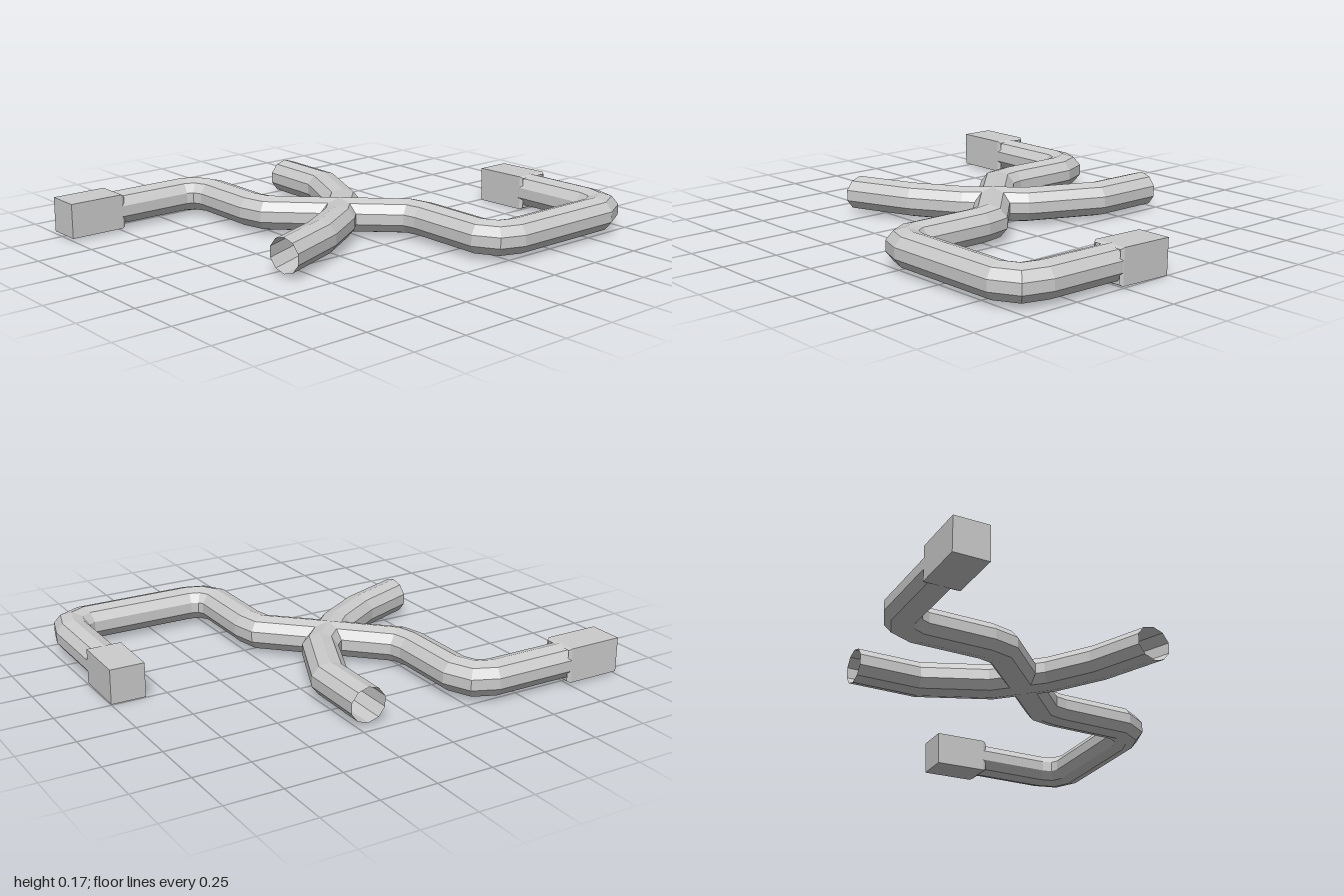
import * as THREE from 'three';

const R = 0.0775, Y = 0.0925, SIDES = 10;
const SIDE_R = R / Math.sin(THREE.MathUtils.degToRad(72)); // keeps width equal to height

function material() {
  return new THREE.MeshStandardMaterial({ color: 0xcccccc, flatShading: true, side: THREE.DoubleSide });
}

// Open pipe with mitred bends; path points are [x, z, y?]
function pipe(name, path, endDir) {
  const pts = path.map(([x, z, y = Y]) => new THREE.Vector3(x, y, z));
  const dirs = pts.slice(1).map((p, i) => {
    const d = p.clone().sub(pts[i]);
    d.y = 0;
    return d.normalize();
  });
  const pos = [], index = [];
  pts.forEach((p, i) => {
    const before = dirs[Math.max(i - 1, 0)], after = dirs[Math.min(i, dirs.length - 1)];
    let t = before.clone().add(after).normalize();
    if (endDir && i === pts.length - 1) t = new THREE.Vector3(endDir[0], 0, endDir[1]).normalize();
    const w = SIDE_R / t.dot(before);
    for (let j = 0; j < SIDES; j++) {
      const a = (j / SIDES) * Math.PI * 2;
      const s = Math.sin(a) * w;
      pos.push(p.x - t.z * s, p.y + Math.cos(a) * R, p.z + t.x * s);
      if (i > 0) {
        const k = (j + 1) % SIDES, b = i * SIDES, c = b - SIDES;
        index.push(c + j, b + j, c + k, c + k, b + j, b + k);
      }
    }
  });
  const g = new THREE.BufferGeometry();
  g.setAttribute('position', new THREE.Float32BufferAttribute(pos, 3));
  g.setIndex(index);
  g.computeVertexNormals();
  const mesh = new THREE.Mesh(g, material());
  mesh.name = name;
  return mesh;
}

// Square end block along local z, with a short tapered collar facing +z
function endBlock(name, length) {
  const group = new THREE.Group();
  group.name = name;
  const block = new THREE.Mesh(new THREE.BoxGeometry(2 * R, 2 * R, length), material());
  block.name = name + 'Body';
  const collarGeo = new THREE.CylinderGeometry(R * 1.27, R * Math.SQRT2, 0.015, 4, 1, true);
  collarGeo.rotateY(Math.PI / 4).rotateX(Math.PI / 2);
  const collar = new THREE.Mesh(collarGeo, material());
  collar.name = name + 'Collar';
  collar.position.z = length / 2 + 0.0075;
  group.add(block, collar);
  return group;
}

export function createModel() {
  const model = new THREE.Group();
  model.name = 'pipeJunction';

  // Long pipe winding from one end block to the other
  model.add(pipe('mainPipe', [
    [-0.76, -0.73], [-0.39, -0.73], [-0.32, -0.7], [-0.285, -0.62],
    [-0.285, -0.31], [-0.265, -0.225], [-0.04, 0], [0.18, 0.215],
    [0.197, 0.3], [0.197, 0.635], [0.235, 0.7], [0.305, 0.725],
    [0.82, 0.725], [0.895, 0.685], [0.92, 0.6], [0.92, 0.24, 0.088],
  ]));

  // Open-ended pipe crossing it
  model.add(pipe('crossPipe', [
    [0.2, -0.705], [0.197, -0.405], [0.065, -0.105], [-0.04, 0],
    [-0.13, 0.09], [-0.33, 0.215], [-0.597, 0.32],
  ], [-1, 0.1]));

  // End blocks
  const left = endBlock('leftEndBlock', 0.247);
  left.position.set(0.921, 0.084, 0.127);
  left.rotation.x = -0.025;
  const right = endBlock('rightEndBlock', 0.25);
  right.position.set(-0.875, Y, -0.73);
  right.rotation.y = Math.PI / 2;
  model.add(left, right);
  return model;
}
